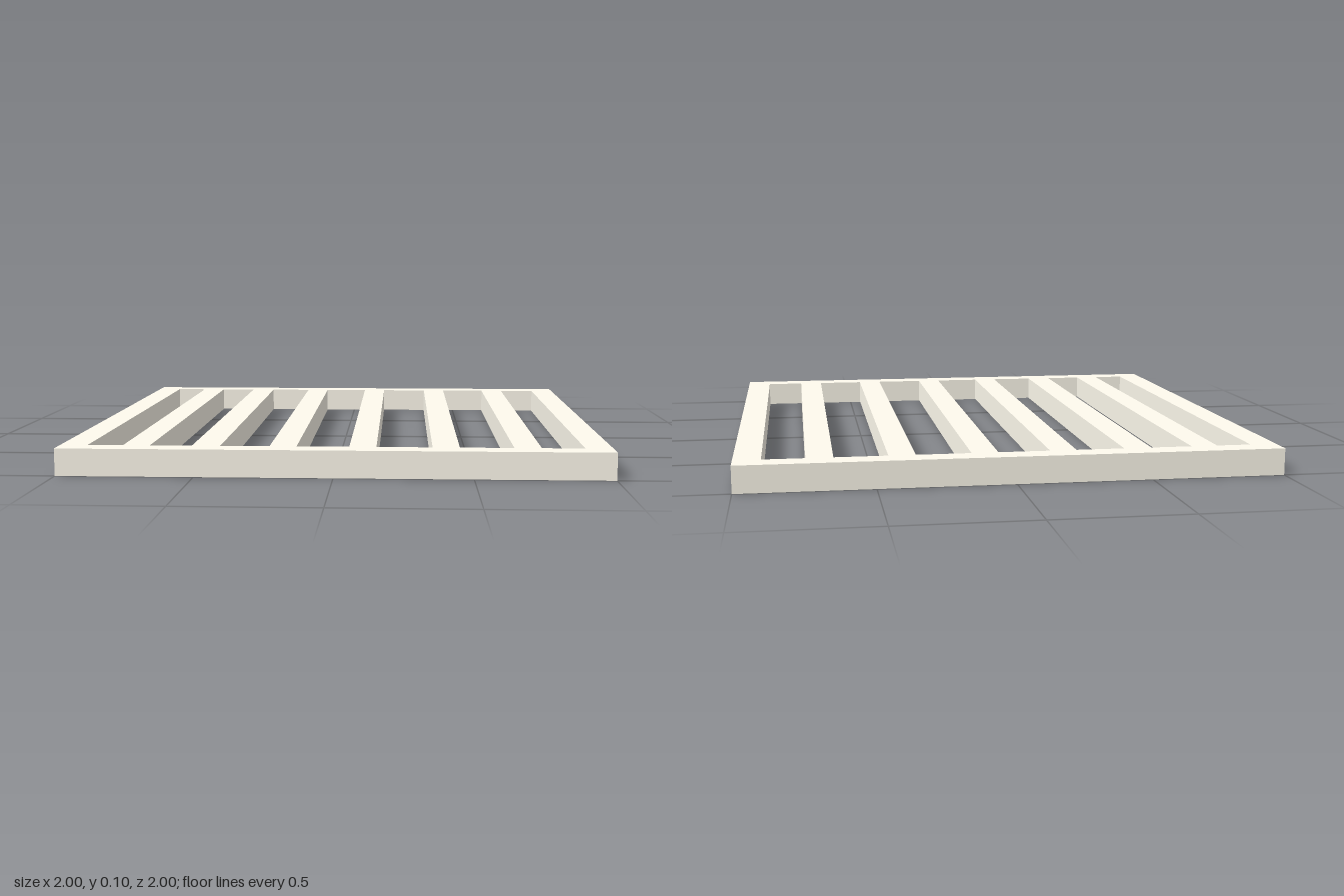
import * as THREE from 'three';

const HEIGHT = 0.1;
const SLOT_END = 0.912;
// left and right edge of each slot
const SLOTS = [
  [-0.9, -0.77], [-0.672, -0.518], [-0.415, -0.235], [-0.137, 0.054],
  [0.152, 0.354], [0.452, 0.647], [0.745, 0.9],
];

function rectangle(PathType, x0, x1, y0, y1) {
  const path = new PathType();
  path.moveTo(x0, y0);
  path.lineTo(x1, y0);
  path.lineTo(x1, y1);
  path.lineTo(x0, y1);
  path.closePath();
  return path;
}

export function createModel() {
  const group = new THREE.Group();
  group.name = 'slottedGrate';

  // Square plate with long slots cut through it, leaving the bars between
  const outline = rectangle(THREE.Shape, -1, 1, -1, 1);
  for (const [x0, x1] of SLOTS) {
    outline.holes.push(rectangle(THREE.Path, x0, x1, -SLOT_END, SLOT_END));
  }
  const geometry = new THREE.ExtrudeGeometry(outline, { depth: HEIGHT, bevelEnabled: false });
  geometry.rotateX(-Math.PI / 2); // lay flat, standing on y = 0

  const grate = new THREE.Mesh(geometry, new THREE.MeshStandardMaterial({ color: 0xfffbee }));
  grate.name = 'grate';
  group.add(grate);
  return group;
}
